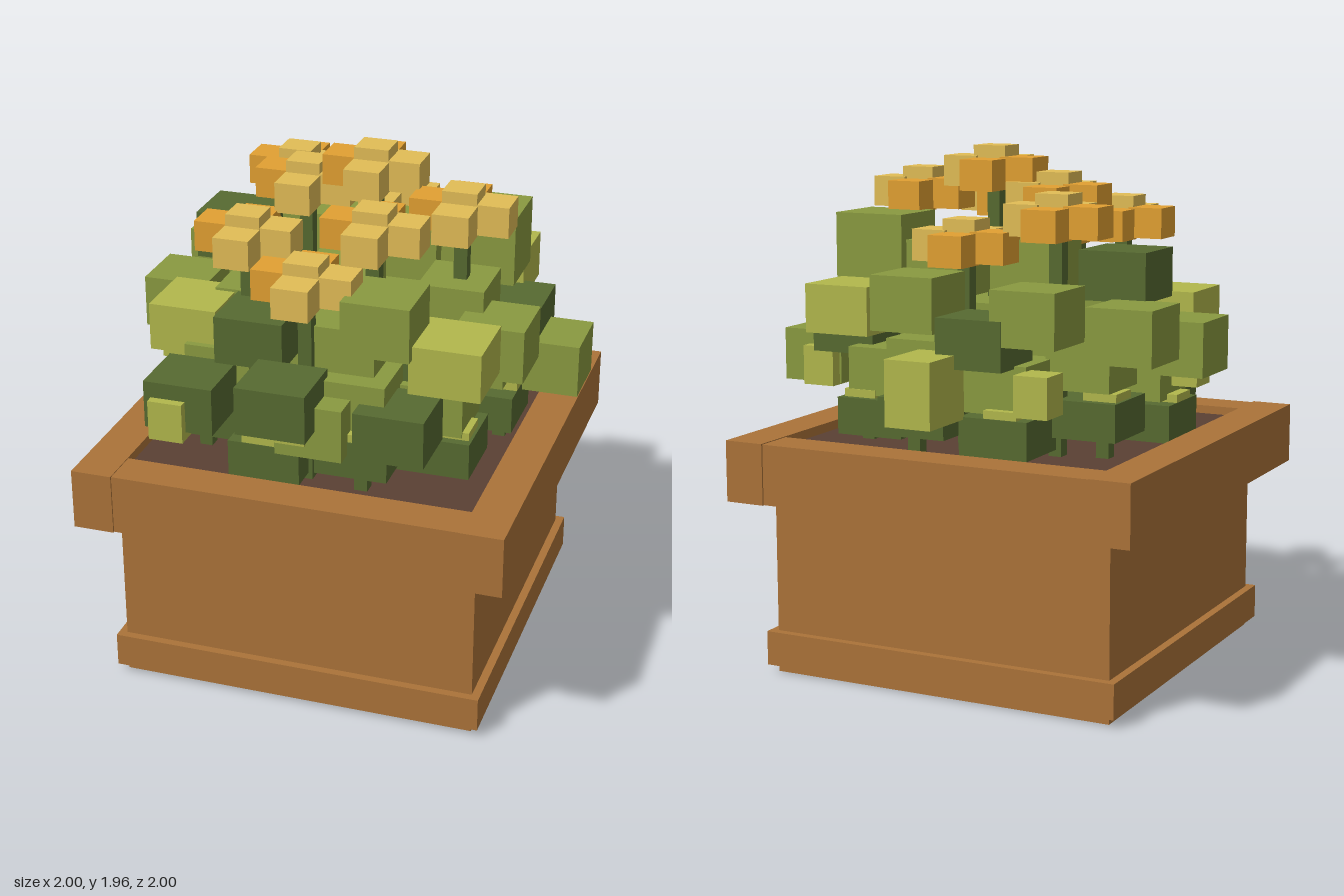
import * as THREE from 'three';

const TURN = 0.28; // the whole planter stands slightly turned

function material(name, color) {
  const m = new THREE.MeshStandardMaterial({ color });
  m.name = name;
  return m;
}

function box(parent, name, mat, [x, y, z], [w, h, d], turn = 0) {
  const mesh = new THREE.Mesh(new THREE.BoxGeometry(w, h, d), mat);
  mesh.name = name;
  mesh.position.set(x, y, z);
  mesh.rotation.y = turn;
  parent.add(mesh);
}

export function createModel() {
  const wood = material('wood', 0xab7339);
  const soil = material('soil', 0x5a4034);
  const dark = material('dark leaf', 0x576a31);
  const mid = material('mid leaf', 0x8a9a40);
  const light = material('light leaf', 0xb2b84c);
  const orange = material('orange petal', 0xe2a032);
  const yellow = material('yellow petal', 0xe2bd56);

  const model = new THREE.Group();
  model.name = 'planter';

  // Wooden pot: body, plinth band and a rim of four boards
  const pot = new THREE.Group();
  pot.name = 'pot';
  pot.rotation.y = TURN;
  model.add(pot);
  box(pot, 'potBody', wood, [0, 0.42, 0], [1.36, 0.84, 1.36]);
  box(pot, 'plinthBand', wood, [0, 0.095, 0], [1.422, 0.13, 1.422]);
  box(pot, 'soil', soil, [0, 0.85, 0], [1.34, 0.03, 1.34]);
  for (const s of [-1, 1]) {
    box(pot, 'rimSide', wood, [s * 0.731, 0.785, 0], [0.155, 0.23, 1.616]);
    box(pot, 'rimEnd', wood, [0, 0.784, s * 0.724], [1.307, 0.226, 0.155]);
  }

  const foliage = new THREE.Group();
  foliage.name = 'foliage';
  model.add(foliage);
  const leaves = (name, mat, size, places) => {
    for (const place of places) box(foliage, name, mat, place, size, TURN);
  };

  // Leafy core with rings of stalks, dark low leaves, mid-height leaves and small shoots
  box(foliage, 'leafCore', mid, [0, 1.22, 0], [0.54, 0.34, 0.54], TURN);
  for (let i = 0; i < 10; i++) {
    const a = (i / 10) * Math.PI * 2 + TURN;
    const x = Math.cos(a), z = Math.sin(a);
    const lift = i % 2;
    box(foliage, 'stalk', dark, [x * 0.58, 0.95, z * 0.58], [0.05, 0.2, 0.05], TURN);
    box(foliage, 'lowLeaf', dark, [x * 0.52, 0.96 + 0.05 * lift, z * 0.52], [0.27, 0.14, 0.27], TURN);
    box(foliage, 'middleLeaf', mid, [x * 0.49, 1.13 + 0.07 * lift, z * 0.49], [0.25, 0.18, 0.25], TURN);
    box(foliage, 'shoot', light, [x * 0.59, 1.0 + 0.05 * lift, z * 0.59], [0.13, 0.12, 0.13], TURN);
  }

  // Outer leaf blocks
  leaves('darkLeaf', dark, [0.26, 0.18, 0.25], [
    [-0.54, 1.52, -0.03], [-0.25, 1.16, 0.67], [0.14, 1.23, 0.65], [-0.12, 1.35, 0.42],
    [0.48, 1.13, 0.42], [0.48, 1.27, -0.39], [-0.28, 1.3, -0.5], [0.4, 1.3, 0.12],
  ]);
  leaves('midLeaf', mid, [0.25, 0.2, 0.25], [
    [-0.04, 1.43, -0.59], [0.41, 1.52, 0.4], [0.66, 1.15, -0.38], [0.63, 1.34, -0.01],
    [-0.73, 1.34, -0.22], [-0.69, 1.26, 0.12], [-0.48, 1.4, -0.44], [-0.23, 1.54, -0.17],
    [0.1, 1.52, -0.27], [0.05, 1.46, 0.13], [0.21, 1.13, 0.52], [-0.3, 1.33, 0.18],
    [0.42, 1.42, -0.08], [0.22, 1.36, 0.33],
  ]);
  leaves('tallLeaf', mid, [0.28, 0.26, 0.26], [[0.38, 1.58, -0.34]]);
  leaves('lightLeaf', light, [0.26, 0.18, 0.27], [
    [0.3, 1.38, -0.58], [0.63, 1.38, 0.29], [-0.42, 1.33, 0.41],
  ]);
  leaves('backLeaf', light, [0.18, 0.24, 0.25], [[-0.19, 1.14, -0.71]]);
  leaves('smallLeaf', light, [0.13, 0.15, 0.13], [
    [0.16, 1.155, 0.61], [-0.26, 1.115, 0.77], [-0.6, 1.16, 0.26],
    [0.58, 1.12, -0.47], [-0.52, 1.13, -0.48],
  ]);

  // Flower heads: centre x, height of the petals' underside, centre z
  const flowers = [
    [-0.41, 1.655, -0.25], [-0.09, 1.555, -0.39], [-0.21, 1.71, -0.02], [0.06, 1.8, -0.07],
    [0.43, 1.705, -0.08], [0.24, 1.68, 0.21], [-0.23, 1.605, 0.33], [0.14, 1.555, 0.49],
  ];
  const petal = [0.135, 0.115, 0.135];
  for (const [x, y, z] of flowers) {
    const flower = new THREE.Group();
    flower.name = 'flower';
    flower.position.set(x, y, z);
    flower.rotation.y = TURN;
    model.add(flower);
    box(flower, 'stem', dark, [0, (0.86 - y) / 2, 0], [0.05, y - 0.86, 0.05]);
    box(flower, 'petalLeft', yellow, [0.115, 0.0625, -0.01], petal);
    box(flower, 'petalFront', yellow, [0, 0.0575, 0.115], petal);
    box(flower, 'petalRight', orange, [-0.12, 0.0615, -0.01], petal);
    box(flower, 'petalBack', orange, [-0.01, 0.0555, -0.12], petal);
    box(flower, 'flowerHeart', yellow, [0, 0.1, 0], [0.13, 0.12, 0.12]);
  }
  return model;
}
